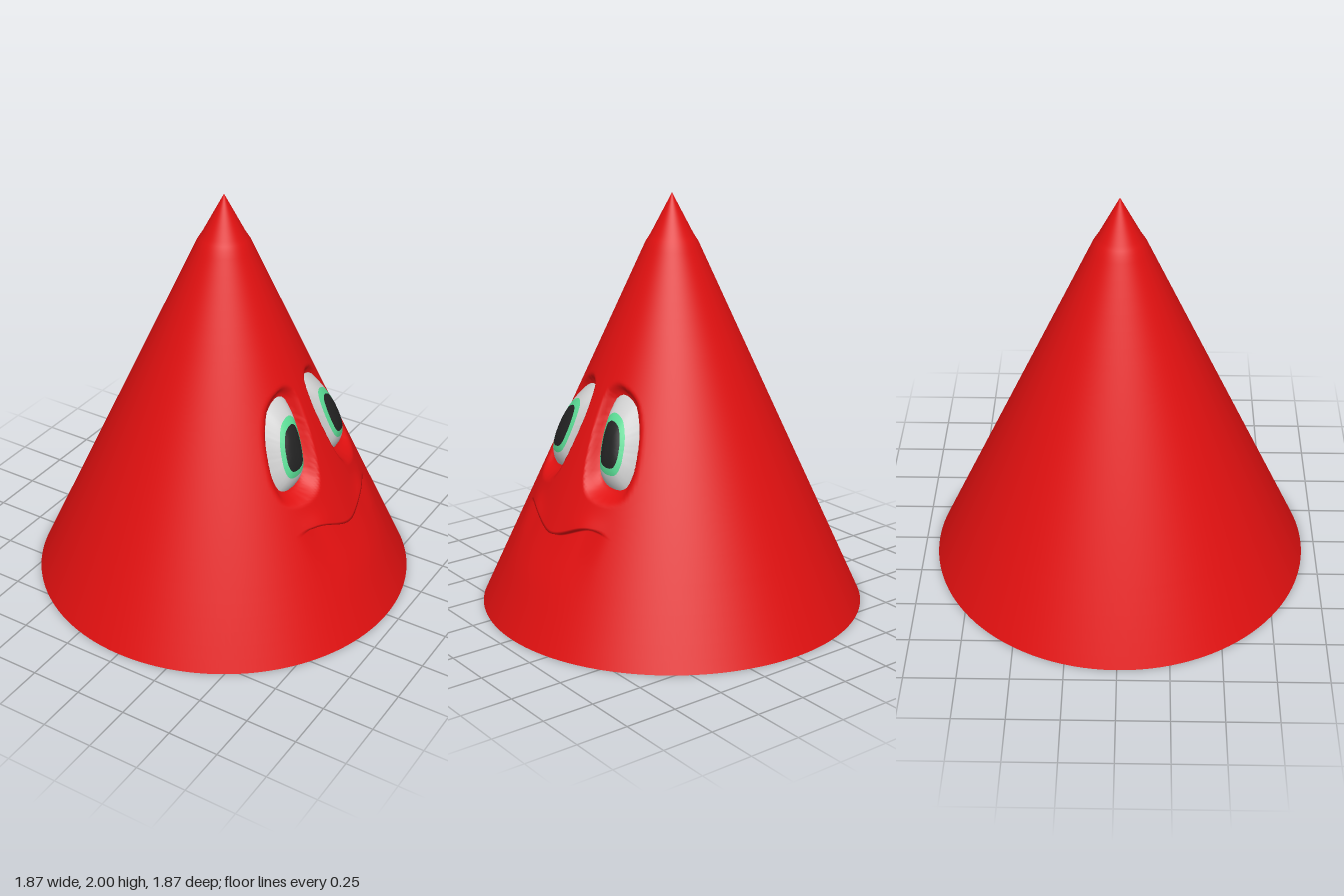
import * as THREE from 'three';

const { smoothstep, lerp, clamp } = THREE.MathUtils;

// Closed surface from rows of points; outward = row direction x column direction
function loft(rows, cols, point) {
  const pos = [], idx = [];
  for (let i = 0; i < rows; i++)
    for (let j = 0; j < cols; j++) pos.push(...point(i, (j / cols) * Math.PI * 2));
  for (let i = 0; i < rows - 1; i++)
    for (let j = 0; j < cols; j++) {
      const k = (j + 1) % cols;
      const a = i * cols + j, b = a + cols, c = (i + 1) * cols + k, d = i * cols + k;
      idx.push(a, b, c, a, c, d);
    }
  const g = new THREE.BufferGeometry();
  g.setAttribute('position', new THREE.Float32BufferAttribute(pos, 3));
  g.setIndex(idx);
  g.computeVertexNormals();
  return g;
}

// Slanted egg outline of an eye, as (z, y)
const EYE = new THREE.Vector2(0.195, 0.92);
const eggPoints = [
  [0.12, 1.116], [0.085, 1.095], [0.075, 1.05], [0.085, 0.915], [0.127, 0.767], [0.164, 0.73],
  [0.243, 0.714], [0.29, 0.73], [0.307, 0.783], [0.29, 0.915], [0.254, 1.01], [0.2, 1.085],
].map(([z, y]) => new THREE.Vector3(z - EYE.x, y - EYE.y, 0));
const egg = new THREE.CatmullRomCurve3(eggPoints, true).getSpacedPoints(240)
  .map((p) => ({ angle: Math.atan2(p.y, p.x), radius: Math.hypot(p.x, p.y) }));

function eggRadius(angle) {
  let best = 9, radius = 0;
  for (const e of egg) {
    const d = 1 - Math.cos(e.angle - angle);
    if (d < best) { best = d; radius = e.radius; }
  }
  return radius;
}

// Sloping plane on which the rim of each eye lies
const rimX = (y, z) => 0.43 - 0.4 * (y - EYE.y) - 0.2 * (Math.abs(z) - EYE.x);

// Cone radius, with a blunter tip
function coneRadius(y) {
  if (y < 1.77) return lerp(0.935, 0.125, y / 1.77);
  if (y < 1.81) return lerp(0.125, 0.1, (y - 1.77) / 0.04);
  return lerp(0.1, 0.0005, (y - 1.81) / 0.19);
}

const MOUTH = 0.48;

function bodyGeometry() {
  // Rows are closer together over the face, with a tight pair at the mouth
  const rows = [MOUTH - 0.006, MOUTH];
  for (let y = 0; y < 0.36; y += 0.06) rows.push(y);
  for (let y = 0.36; y < 0.47; y += 0.012) rows.push(y);
  for (let y = 0.492; y < 1.3; y += 0.011) rows.push(y);
  for (let y = 1.32; y < 1.76; y += 0.07) rows.push(y);
  rows.push(1.77, 1.79, 1.81, 1.87, 1.94, 2);
  rows.sort((a, b) => a - b);

  return loft(rows.length, 180, (i, t) => {
    const v = rows[i];
    const a = t - 0.6 * Math.sin(t); // finer columns towards the face
    let r = coneRadius(v), y = v;
    if (Math.cos(a) <= 0) return [r * Math.cos(a), y, r * Math.sin(a)];

    // Bend the rows into a smile
    const side = Math.abs(r * Math.sin(a));
    const lift = 0.07 * smoothstep(side, 0, 0.24) * (1 - smoothstep(side, 0.27, 0.5));
    y += lift * Math.max(0, 1 - Math.abs(v - MOUTH) / 0.25);
    r = coneRadius(y);
    let x = r * Math.cos(a);
    const z = r * Math.sin(a);

    // Hollow under the lip, slight cheeks above it
    const fade = 1 - smoothstep(Math.abs(z), 0.18, 0.33);
    if (v < MOUTH) x -= 0.03 * fade * clamp(1 - (MOUTH - v) / 0.2, 0, 1);
    else x += 0.012 * fade * smoothstep(Math.abs(z), 0.05, 0.2) * Math.exp(-(((v - MOUTH) / 0.07) ** 2));

    // Eye sockets
    const dz = Math.abs(z) - EYE.x, dy = y - EYE.y;
    const d = Math.hypot(dz, dy);
    if (d < 0.32) {
      const s = d / eggRadius(Math.atan2(dy, dz));
      const floor = rimX(y, z) - 0.03 * clamp((1 - s) * 4, 0, 1);
      x = Math.min(x, lerp(floor, x, smoothstep(s, 1, 1.3)));
    }
    return [x, y, z];
  });
}

// Band of the bulging eye between two scales of its outline
function eyeBand(from, to, side) {
  const rings = 9;
  return loft(rings, 64, (i, t) => {
    const s = lerp(from, to, i / (rings - 1));
    const a = -side * t;
    const r = s * eggRadius(a);
    const z = EYE.x + r * Math.cos(a), y = EYE.y + r * Math.sin(a);
    return [rimX(y, z) + 0.08 * (1 - s ** 2.5), y, side * z];
  });
}

export function createModel() {
  const model = new THREE.Group();
  model.name = 'coneWithFace';
  const add = (parent, name, geometry, color, side = THREE.FrontSide) => {
    const mesh = new THREE.Mesh(geometry, new THREE.MeshStandardMaterial({ color, side }));
    mesh.name = name;
    parent.add(mesh);
  };

  // Hollow cone, open at the bottom
  add(model, 'body', bodyGeometry(), 0xe01010, THREE.DoubleSide);

  // Mirrored pair of eyes
  for (const side of [1, -1]) {
    const eye = new THREE.Group();
    eye.name = side > 0 ? 'frontEye' : 'backEye';
    add(eye, 'pupil', eyeBand(0, 0.5, side), 0x222222);
    add(eye, 'iris', eyeBand(0.5, 0.66, side), 0x58d892);
    add(eye, 'eyeWhite', eyeBand(0.66, 1, side), 0xcccccc);
    model.add(eye);
  }
  return model;
}
